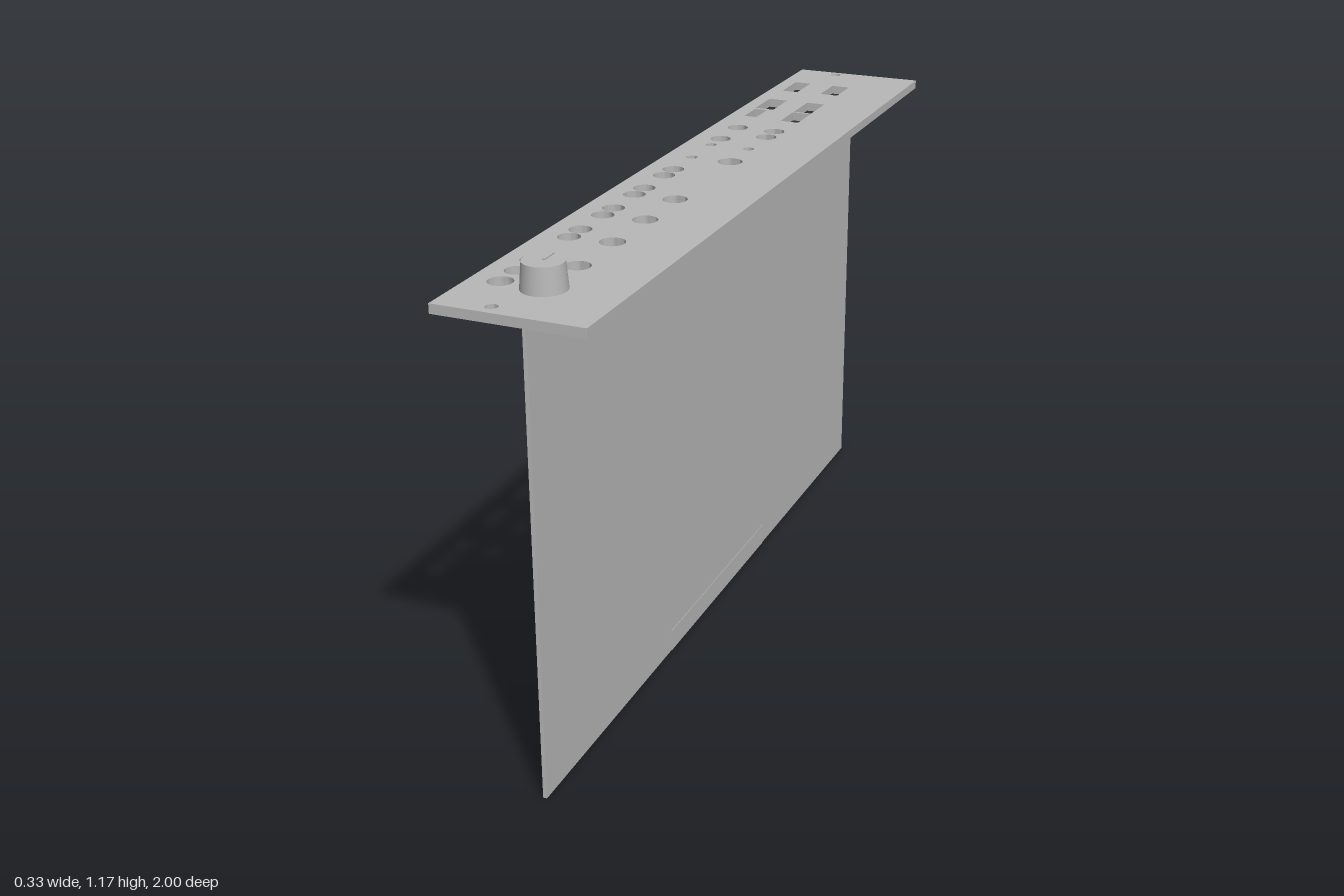
import * as THREE from 'three';
import { toCreasedNormals } from 'three/addons/utils/BufferGeometryUtils.js';

export function createModel() {
  const model = new THREE.Group();
  model.name = 'panelModule';
  const grey = new THREE.MeshStandardMaterial({ color: 0xb8b8b8 });
  grey.name = 'plain grey';

  const add = (name, geometry, x = 0, y = 0, z = 0) => {
    const mesh = new THREE.Mesh(geometry, grey);
    mesh.name = name;
    mesh.position.set(x, y, z);
    model.add(mesh);
    return mesh;
  };
  // Box given by its limits on each axis
  const addBox = (name, x0, x1, y0, y1, z0, z1) =>
    add(name, new THREE.BoxGeometry(x1 - x0, y1 - y0, z1 - z0),
      (x0 + x1) / 2, (y0 + y1) / 2, (z0 + z1) / 2);

  // Front plate outline, drawn in x and -z
  const W = 0.165, BOTTOM = 1.087, TOP = 1.108;
  const rectangle = (path, x0, x1, z0, z1) => {
    path.moveTo(x0, -z0);
    path.lineTo(x0, -z1);
    path.lineTo(x1, -z1);
    path.lineTo(x1, -z0);
    path.closePath();
    return path;
  };
  const plate = rectangle(new THREE.Shape(), -W, W, -1, 1);

  // Rectangular sockets: x0, x1, z0, z1
  const slots = [
    [-0.13, -0.088, -0.855, -0.755],
    [-0.13, -0.081, -0.66, -0.56],
    [-0.127, -0.094, -0.55, -0.475],
    [-0.025, 0.022, -0.855, -0.76],
    [-0.025, 0.022, -0.66, -0.562],
    [-0.025, 0.022, -0.555, -0.465],
  ];
  slots.forEach((s) => plate.holes.push(rectangle(new THREE.Path(), ...s)));

  // Round holes: z and radius, in two columns
  const outerColumn = [
    [-0.365, 0.025], [-0.254, 0.025], [-0.196, 0.013], [-0.08, 0.013],
    [0.027, 0.025], [0.079, 0.025], [0.185, 0.025], [0.237, 0.025],
    [0.343, 0.025], [0.395, 0.025], [0.501, 0.025], [0.553, 0.025],
    [0.707, 0.028], [0.775, 0.026], [0.842, 0.027],
  ];
  const middleColumn = [
    [-0.365, 0.025], [-0.31, 0.025], [-0.196, 0.013], [-0.08, 0.029],
    [0.235, 0.028], [0.39, 0.028], [0.548, 0.028], [0.705, 0.028],
  ];
  const drill = (x, z, r) => {
    const hole = new THREE.Path();
    hole.absarc(x, -z, r, 0, Math.PI * 2, true);
    plate.holes.push(hole);
  };
  outerColumn.forEach(([z, r]) => drill(-0.1, z, r));
  middleColumn.forEach(([z, r]) => drill(-0.003, z, r));
  drill(-0.058, -0.977, 0.013); // screw holes
  drill(-0.048, 0.969, 0.013);

  const plateGeometry = new THREE.ExtrudeGeometry(plate, {
    depth: TOP - BOTTOM, bevelEnabled: false, curveSegments: 14,
  });
  plateGeometry.rotateX(-Math.PI / 2);
  add('frontPlate', toCreasedNormals(plateGeometry, 0.7), 0, BOTTOM, 0);

  // Flange under the plate, and the tall board hanging from it
  addBox('flange', -0.005, 0.083, 1.076, BOTTOM, -0.935, 0.935);
  addBox('board', -0.005, 0.004, 0, 1.076, -0.935, 0.935);
  addBox('edgeConnector', -0.0062, 0.0052, 0, 0.053, -0.295, 0.295);

  // Tapered knob with a raised pointer on top
  const KX = -0.003, KZ = 0.845, KH = 0.057;
  const knob = new THREE.CylinderGeometry(0.043, 0.048, KH, 40);
  add('knob', knob, KX, TOP + KH / 2, KZ);
  addBox('knobPointer', KX - 0.003, KX + 0.003, TOP + KH - 0.002, TOP + KH + 0.003, KZ - 0.04, KZ);

  return model;
}
